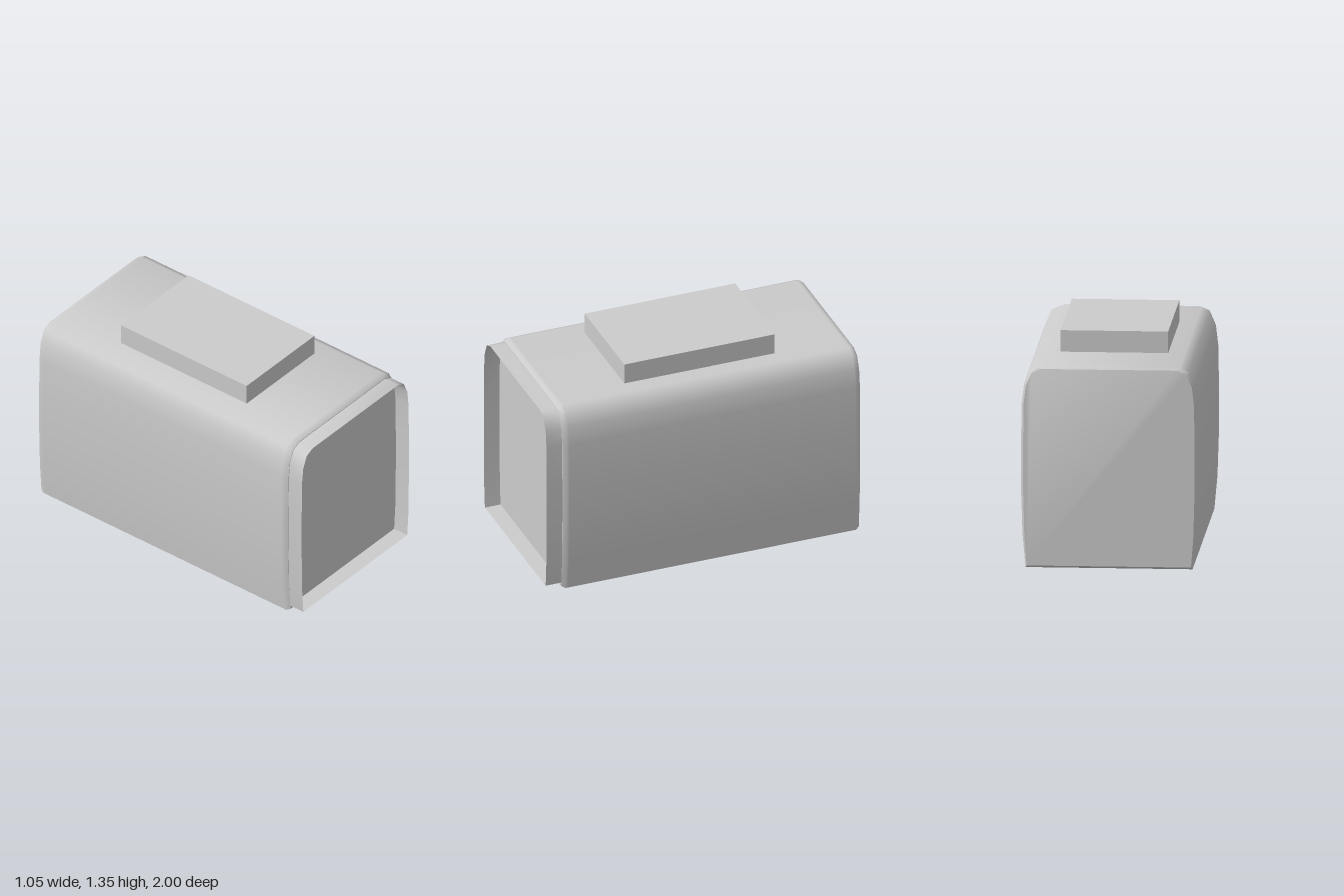
import * as THREE from 'three';
import { toCreasedNormals } from 'three/addons/utils/BufferGeometryUtils.js';

// Right half of a cross-section, mirrored into a counterclockwise loop
const mirrored = half => [...half, ...half.slice().reverse().map(([x, y]) => [-x, y])];

const outer = mirrored([[0.497, 0], [0.515, 0.2], [0.525, 0.5], [0.525, 0.7], [0.52, 0.99],
  [0.506, 1.11], [0.472, 1.19], [0.42, 1.217]]);
const inset = mirrored([[0.489, 0.014], [0.503, 0.2], [0.511, 0.5], [0.511, 0.7], [0.507, 0.99],
  [0.495, 1.1], [0.462, 1.178], [0.405, 1.204]]);
const collar = mirrored([[0.491, 0.04], [0.502, 0.2], [0.507, 0.5], [0.507, 0.7], [0.504, 0.99],
  [0.492, 1.1], [0.459, 1.175], [0.403, 1.2]]);

// Skin through cross-sections listed from front to back, with optional end caps
function loft(sections, capped) {
  const pos = [], idx = [], n = sections[0].loop.length;
  for (const { loop, z } of sections) for (const [x, y] of loop) pos.push(x, y, z);
  for (let s = 0; s < sections.length - 1; s++) {
    for (let i = 0; i < n; i++) {
      const j = (i + 1) % n, f = s * n, b = f + n;
      idx.push(b + i, b + j, f + j, b + i, f + j, f + i);
    }
  }
  if (capped) {
    const last = (sections.length - 1) * n;
    for (let i = 1; i < n - 1; i++) {
      idx.push(0, i, i + 1);
      idx.push(last, last + i + 1, last + i);
    }
  }
  const geo = new THREE.BufferGeometry();
  geo.setAttribute('position', new THREE.Float32BufferAttribute(pos, 3));
  geo.setIndex(idx);
  return toCreasedNormals(geo, 0.9);
}

export function createModel() {
  const group = new THREE.Group();
  const grey = new THREE.MeshStandardMaterial({ color: 0xcccccc, side: THREE.DoubleSide });
  grey.name = 'light grey';
  const add = (name, geo) => {
    const mesh = new THREE.Mesh(geo, grey);
    mesh.name = name;
    group.add(mesh);
    return mesh;
  };

  // Long body with softened ends
  add('body', loft([
    { loop: inset, z: 0.9 }, { loop: outer, z: 0.875 }, { loop: outer, z: 0.86 },
    { loop: outer, z: -0.965 }, { loop: outer, z: -0.98 }, { loop: inset, z: -1 },
  ], true));

  // Open collar standing out from the front end
  add('frontCollar', loft([{ loop: collar, z: 1 }, { loop: collar, z: 0.895 }], false));

  // Roof unit
  add('roofBox', new THREE.BoxGeometry(0.64, 0.147, 0.96)).position.set(0, 1.2735, -0.05);

  return group;
}
